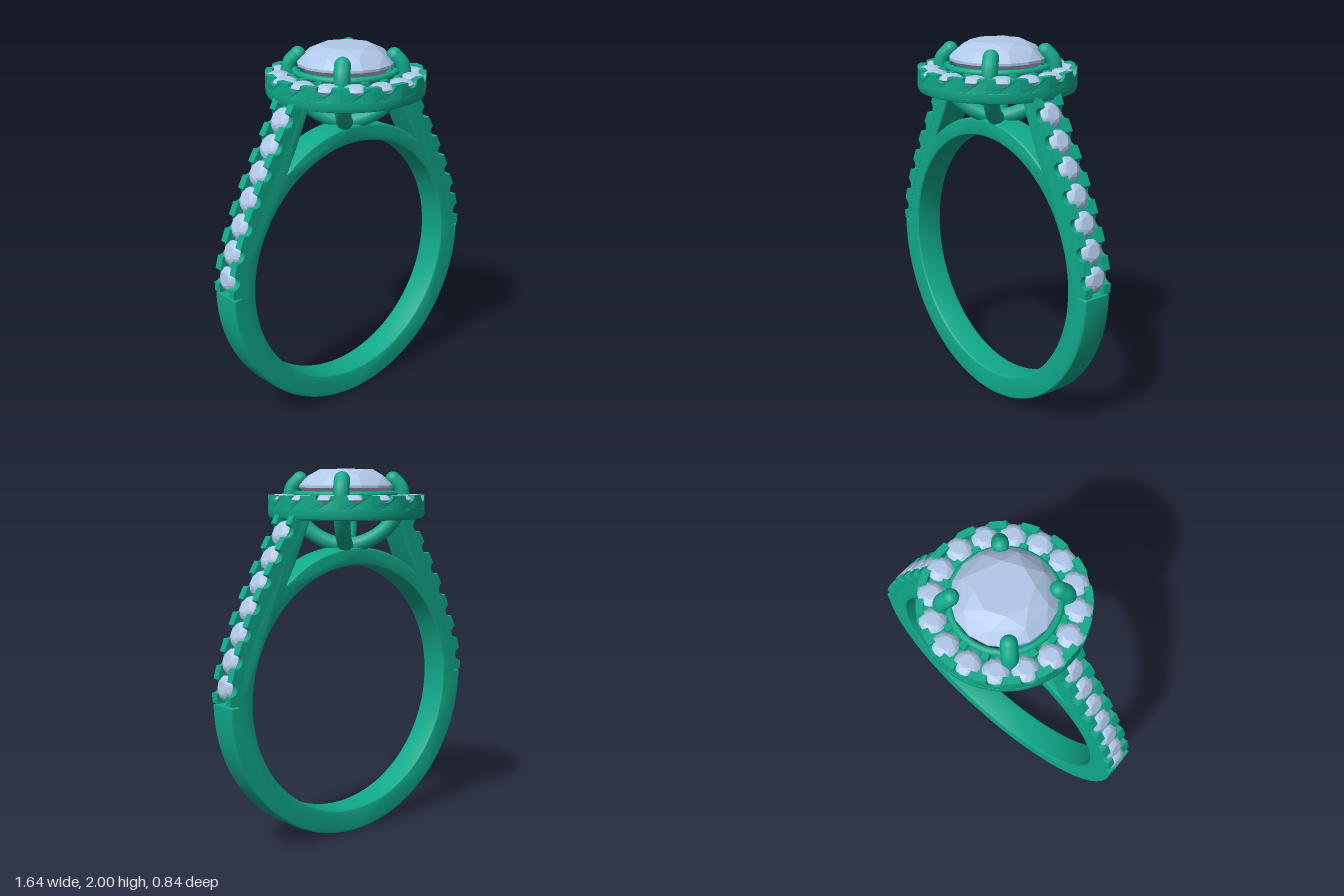
import * as THREE from 'three';
import { toCreasedNormals } from 'three/addons/utils/BufferGeometryUtils.js';
import { ConvexGeometry } from 'three/addons/geometries/ConvexGeometry.js';

const metal = new THREE.MeshStandardMaterial({ color: 0x10a98a });
const crystal = new THREE.MeshStandardMaterial({ color: 0xb0c8e8, flatShading: true });
const V2 = (x, y) => new THREE.Vector2(x, y);

function add(parent, name, geometry, material = metal) {
  const mesh = new THREE.Mesh(geometry, material);
  mesh.name = name;
  parent.add(mesh);
  return mesh;
}

// Round brilliant cut, girdle at y = 0
function gemGeometry(r, crown, pavilion) {
  const pts = [];
  const ring = (n, radius, y, turn = 0) => {
    for (let i = 0; i < n; i++) {
      const a = ((i + turn) / n) * Math.PI * 2;
      pts.push(new THREE.Vector3(radius * Math.sin(a), y, radius * Math.cos(a)));
    }
  };
  ring(8, r * 0.55, crown);
  ring(8, r * 0.82, crown * 0.6, 0.5);
  ring(16, r, 0);
  ring(16, r, -r * 0.05);
  ring(8, r * 0.5, -pavilion * 0.56, 0.5);
  pts.push(new THREE.Vector3(0, -pavilion, 0));
  return new ConvexGeometry(pts);
}

// Half-circle scallop cut into an edge; t runs along the edge, n points out of it
function scallop(p, t, n, r) {
  return Array.from({ length: 11 }, (_, i) => {
    const a = (i / 10) * Math.PI;
    return p.clone().addScaledVector(t, -r * Math.cos(a)).addScaledVector(n, -r * Math.sin(a));
  });
}

// Outer edge of the shoulder, rising from mid-height to the halo
const shoulder = new THREE.SplineCurve([
  V2(0.82, 0.83), V2(0.812, 0.93), V2(0.777, 1.06), V2(0.725, 1.19), V2(0.665, 1.32),
  V2(0.595, 1.45), V2(0.525, 1.57), V2(0.455, 1.69), V2(0.405, 1.785)]);

function edge(u, depth = 0) {
  const t = shoulder.getTangentAt(u);
  const n = V2(t.y, -t.x);
  return { t, n, p: shoulder.getPointAt(u).addScaledVector(n, -depth) };
}
const stoneU = Array.from({ length: 7 }, (_, i) => (0.085 + 0.143 * i) / shoulder.getLength());
const recess = 0.045;
const halfWidth = 0.083;

// Band, split shoulders and gallery arch in one outline
function bandGeometry() {
  const side = [];
  for (let i = 0; i <= 24; i++) side.push(edge(i / 24, recess).p);
  side.push(V2(0.295, 1.77), V2(0.345, 1.65), V2(0.4, 1.53), V2(0.46, 1.419));
  const pts = [...side];
  for (let i = 1; i < 32; i++) {
    const a = THREE.MathUtils.degToRad(50.2 + (79.6 * i) / 32);
    pts.push(V2(0.719 * Math.cos(a), 0.866 + 0.719 * Math.sin(a)));
  }
  pts.push(...side.slice().reverse().map((p) => V2(-p.x, p.y)));
  for (let i = 0; i <= 64; i++) {
    const a = Math.PI * (1 + i / 64);
    pts.push(V2(0.82 * Math.cos(a), 0.82 + 0.82 * Math.sin(a)));
  }
  const shape = new THREE.Shape(pts);
  const hole = new THREE.Path();
  hole.absarc(0, 0.81, 0.68, 0, Math.PI * 2, true);
  shape.holes.push(hole);
  const bevel = 0.014;
  const g = new THREE.ExtrudeGeometry(shape, {
    depth: 2 * (halfWidth - bevel), curveSegments: 96,
    bevelThickness: bevel, bevelSize: bevel, bevelOffset: -bevel, bevelSegments: 3 });
  g.translate(0, 0, bevel - halfWidth);
  return toCreasedNormals(g, 0.5);
}

// Scalloped strip that holds one edge of the shoulder stones
function railGeometry() {
  const pts = [edge(0).p];
  for (const u of stoneU) {
    const { p, t, n } = edge(u);
    pts.push(...scallop(p, t, n, 0.036));
  }
  pts.push(edge(1).p);
  for (let i = 24; i >= 0; i--) pts.push(edge(i / 24, recess + 0.02).p);
  const g = new THREE.ExtrudeGeometry(new THREE.Shape(pts), { depth: 0.044, bevelEnabled: false });
  return toCreasedNormals(g, 0.5);
}

// One scalloped step of a halo rail, bent round the y axis
function haloRailGeometry(inner, thickness, steps) {
  const h = (Math.PI * inner) / steps;
  const top = 1.865;
  const pts = [-1, -0.5, 0, 0.5, 1].map((k) => V2(k * h, 1.79));
  pts.push(V2(h, top), ...scallop(V2(0, top), V2(-1, 0), V2(0, 1), 0.036), V2(-h, top));
  const g = new THREE.ExtrudeGeometry(new THREE.Shape(pts), { depth: thickness, bevelEnabled: false });
  const pos = g.attributes.position;
  for (let i = 0; i < pos.count; i++) {
    const a = pos.getX(i) / inner;
    const r = inner + pos.getZ(i);
    pos.setXYZ(i, r * Math.sin(a), pos.getY(i), r * Math.cos(a));
  }
  return toCreasedNormals(g, 0.5);
}

export function createModel() {
  const model = new THREE.Group();
  model.name = 'ring';
  const up = new THREE.Vector3(0, 1, 0);
  const smallGem = gemGeometry(0.065, 0.022, 0.055);

  add(model, 'band', bandGeometry());

  // Shoulder rails and stones; the half turn gives the other side
  const rail = railGeometry();
  for (const [name, turn] of [['leftShoulder', 0], ['rightShoulder', Math.PI]]) {
    const group = new THREE.Group();
    group.name = name;
    group.rotation.y = turn;
    model.add(group);
    for (const z of [-halfWidth - 0.001, halfWidth + 0.001 - 0.044]) {
      add(group, 'shoulderRail', rail).position.z = z;
    }
    for (const u of stoneU) {
      const { p, n } = edge(u, 0.02);
      const gem = add(group, 'shoulderStone', smallGem, crystal);
      gem.position.set(p.x, p.y, 0);
      gem.quaternion.setFromUnitVectors(up, new THREE.Vector3(n.x, n.y, 0));
    }
  }

  // Halo: base ring, inner collar, scalloped rails and sixteen stones
  const halo = new THREE.Group();
  halo.name = 'halo';
  model.add(halo);
  const profile = [[0.262, 1.74], [0.395, 1.74], [0.413, 1.747], [0.42, 1.765], [0.42, 1.795],
    [0.39, 1.82], [0.262, 1.82], [0.262, 1.74]].map(([x, y]) => V2(x, y));
  add(halo, 'haloBase', toCreasedNormals(new THREE.LatheGeometry(profile, 96).toNonIndexed(), 0.6));
  const collar = add(halo, 'haloCollar', new THREE.TorusGeometry(0.264, 0.018, 10, 72));
  collar.rotation.x = Math.PI / 2;
  collar.position.y = 1.868;
  const steps = 16;
  const outerRail = haloRailGeometry(0.382, 0.038, steps);
  const innerRail = haloRailGeometry(0.262, 0.05, steps);
  for (let i = 0; i < steps; i++) {
    const a = ((i + 0.5) / steps) * Math.PI * 2;
    add(halo, 'haloOuterRail', outerRail).rotation.y = a;
    add(halo, 'haloInnerRail', innerRail).rotation.y = a;
    const gem = add(halo, 'haloStone', smallGem, crystal);
    gem.position.set(0.35 * Math.sin(a), 1.845, 0.35 * Math.cos(a));
    gem.rotation.y = a;
  }

  // Centre stone
  add(model, 'centreStone', gemGeometry(0.256, 0.085, 0.225), crystal).position.y = 1.915;

  // Four claws sweeping up from the gallery and over the stone
  const path = new THREE.CatmullRomCurve3([[0, 1.59], [0.09, 1.61], [0.19, 1.665], [0.265, 1.75],
    [0.298, 1.83], [0.29, 1.9], [0.25, 1.945]].map(([x, y]) => new THREE.Vector3(x, y, 0)));
  const claw = new THREE.TubeGeometry(path, 40, 0.042, 14);
  const tip = new THREE.SphereGeometry(0.042, 16, 12);
  for (let i = 0; i < 4; i++) {
    const group = new THREE.Group();
    group.name = 'claw';
    group.rotation.y = Math.PI / 4 + (i * Math.PI) / 2;
    model.add(group);
    add(group, 'clawArm', claw);
    add(group, 'clawTip', tip).position.set(0.25, 1.945, 0);
  }
  return model;
}
